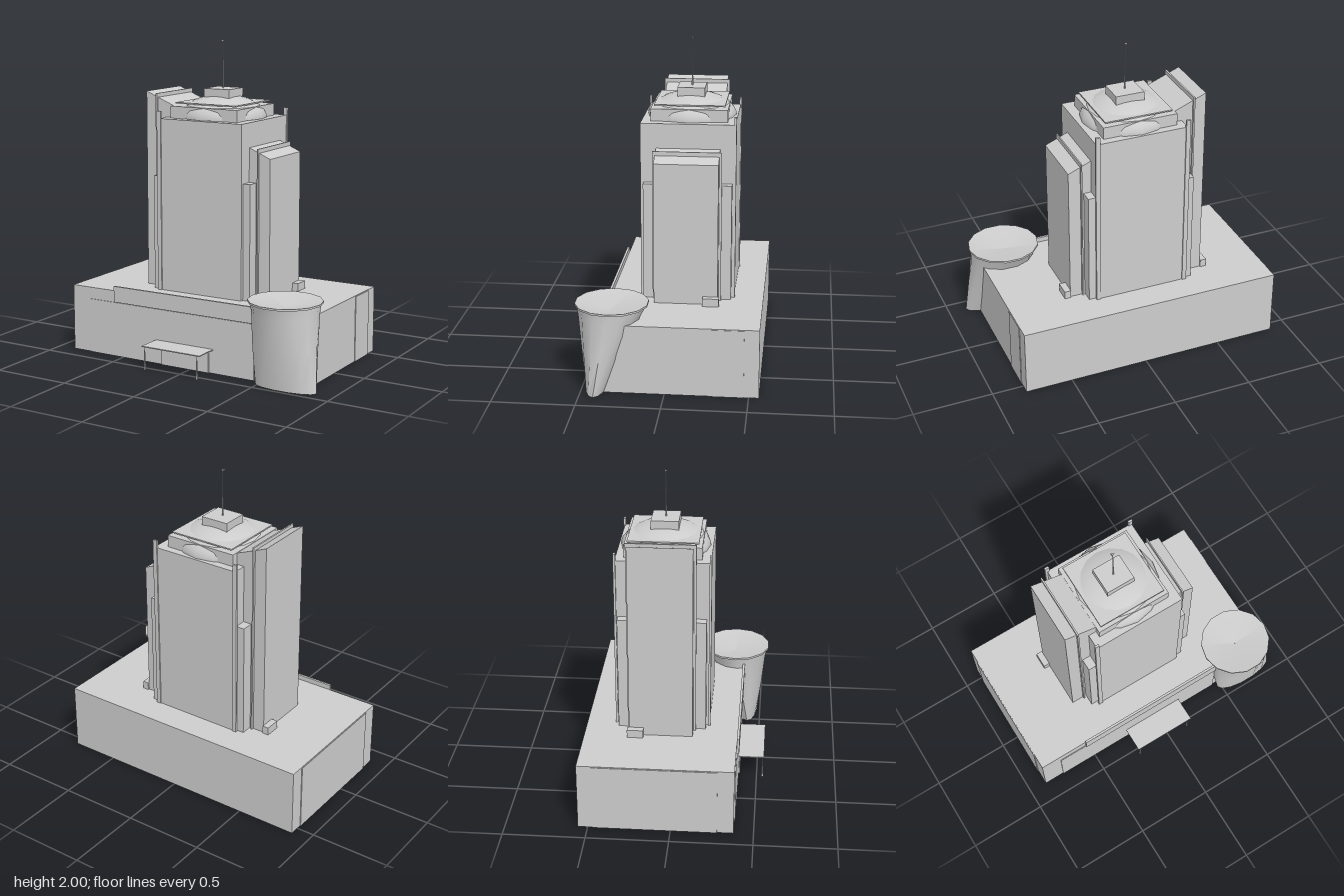
import * as THREE from 'three';
import { toCreasedNormals } from 'three/addons/utils/BufferGeometryUtils.js';

const concrete = new THREE.MeshStandardMaterial({ color: 0xcccccc, side: THREE.DoubleSide });
concrete.name = 'light concrete';

export function createModel() {
  const model = new THREE.Group();
  model.name = 'officeTower';

  const add = (name, geometry, x = 0, y = 0, z = 0) => {
    const mesh = new THREE.Mesh(geometry, concrete);
    mesh.name = name;
    mesh.position.set(x, y, z);
    model.add(mesh);
    return mesh;
  };
  // Box given by its limits along each axis
  const block = (name, x0, x1, y0, y1, z0, z1) =>
    add(name, new THREE.BoxGeometry(x1 - x0, y1 - y0, z1 - z0),
      (x0 + x1) / 2, (y0 + y1) / 2, (z0 + z1) / 2);

  // Podium with thin wall panels and the front parapet band
  block('podium', -0.885, 0.8, 0, 0.425, -0.56, 0.38);
  block('leftWallPanel', 0.8, 0.804, 0, 0.42, -0.47, -0.28);
  block('rightWallPanel', -0.89, -0.885, 0, 0.42, -0.47, 0.28);
  block('frontWallPanel', -0.75, 0.45, 0, 0.35, 0.38, 0.385);
  block('parapetBand', -0.56, 0.445, 0.355, 0.457, 0.38, 0.395);

  // Entrance: door, canopy and tapered posts
  block('door', -0.205, 0.135, 0, 0.132, 0.385, 0.393);
  block('canopy', -0.25, 0.165, 0.146, 0.152, 0.385, 0.545);
  for (const x of [-0.233, 0.143])
    add('canopyPost', new THREE.CylinderGeometry(0.002, 0.007, 0.146, 6), x, 0.073, 0.537);

  // Tower core
  block('towerCore', -0.335, 0.255, 0.425, 1.515, -0.375, 0.2);

  // Side wings with sloping roofs
  const wing = (name, outline) => {
    const shape = new THREE.Shape(outline.map(([x, y]) => new THREE.Vector2(x, y)));
    add(name, new THREE.ExtrudeGeometry(shape, { depth: 0.39, bevelEnabled: false }), 0, 0, -0.285);
  };
  wing('leftWing', [[0.25, 0.425], [0.4, 0.425], [0.4, 1.302], [0.25, 1.365]]);
  wing('rightWing', [[-0.49, 0.425], [-0.28, 0.425], [-0.28, 1.585], [-0.38, 1.625], [-0.49, 1.67]]);

  // Stepped corners, wing fins and small plant boxes on both sides
  for (const [z0, z1] of [[-0.36, -0.285], [0.105, 0.18]]) {
    block('leftCornerStep', 0.255, 0.303, 0.425, 1.15, z0, z1);
    block('rightCornerStep', -0.39, -0.335, 0.425, 1.15, z0, z1);
  }
  block('leftWingFin', 0.316, 0.324, 0.425, 1.36, -0.3, 0.12);
  block('rightWingFin', -0.414, -0.404, 0.425, 1.66, -0.3, 0.12);
  block('leftPlantBox', 0.4, 0.44, 0.425, 0.475, -0.295, -0.195);
  block('rightPlantBox', -0.53, -0.49, 0.425, 0.475, -0.295, -0.195);

  // Slender corner posts rising past the core
  for (const [x, z] of [[-0.335, 0.2], [-0.335, -0.375], [0.247, -0.375]])
    block('cornerPost', x - 0.014, x + 0.014, 0.425, 1.562, z - 0.007, z + 0.007);

  // Crown: box, roof plate, dome breaking through both, and lantern
  block('crown', -0.285, 0.19, 1.515, 1.59, -0.325, 0.145);
  block('crownPlate', -0.262, 0.17, 1.605, 1.613, -0.307, 0.125);
  const dome = add('dome', new THREE.SphereGeometry(0.275, 16, 10, 0, Math.PI * 2, 0, Math.PI / 2),
    -0.045, 1.517, -0.09);
  dome.scale.y = 0.5;
  block('lantern', -0.135, 0.047, 1.632, 1.695, -0.175, -0.005);

  // Mast and beacon
  add('mast', new THREE.CylinderGeometry(0.002, 0.005, 0.29, 6), -0.045, 1.84, -0.09);
  add('beacon', new THREE.ConeGeometry(0.011, 0.02, 3), -0.045, 1.988, -0.09).rotation.z = -Math.PI / 2;

  // Corner pavilion: rings lofted from a narrow foot to a round rim with a dished top
  // Each ring: centre x, height, centre z, radius x, radius z
  const rings = [
    [0.68, 0, 0.415, 0.205, 0.065],
    [0.655, 0.25, 0.375, 0.21, 0.135],
    [0.638, 0.44, 0.34, 0.207, 0.19],
    [0.632, 0.5, 0.33, 0.212, 0.212],
    [0.632, 0.5, 0.33, 0.228, 0.222],
    [0.632, 0.512, 0.33, 0.228, 0.222],
    [0.632, 0.47, 0.33, 0.001, 0.001],
  ];
  const sides = 14, points = [], faces = [];
  rings.forEach(([cx, y, cz, rx, rz], r) => {
    for (let i = 0; i < sides; i++) {
      const a = (i / sides) * Math.PI * 2;
      points.push(cx + Math.cos(a) * rx, y, cz + Math.sin(a) * rz);
      if (r === rings.length - 1) continue;
      const p = r * sides + i, q = r * sides + ((i + 1) % sides);
      faces.push(p, p + sides, q, q, p + sides, q + sides);
    }
  });
  const loft = new THREE.BufferGeometry();
  loft.setAttribute('position', new THREE.Float32BufferAttribute(points, 3));
  loft.setIndex(faces);
  add('cornerPavilion', toCreasedNormals(loft, 0.7));

  return model;
}
